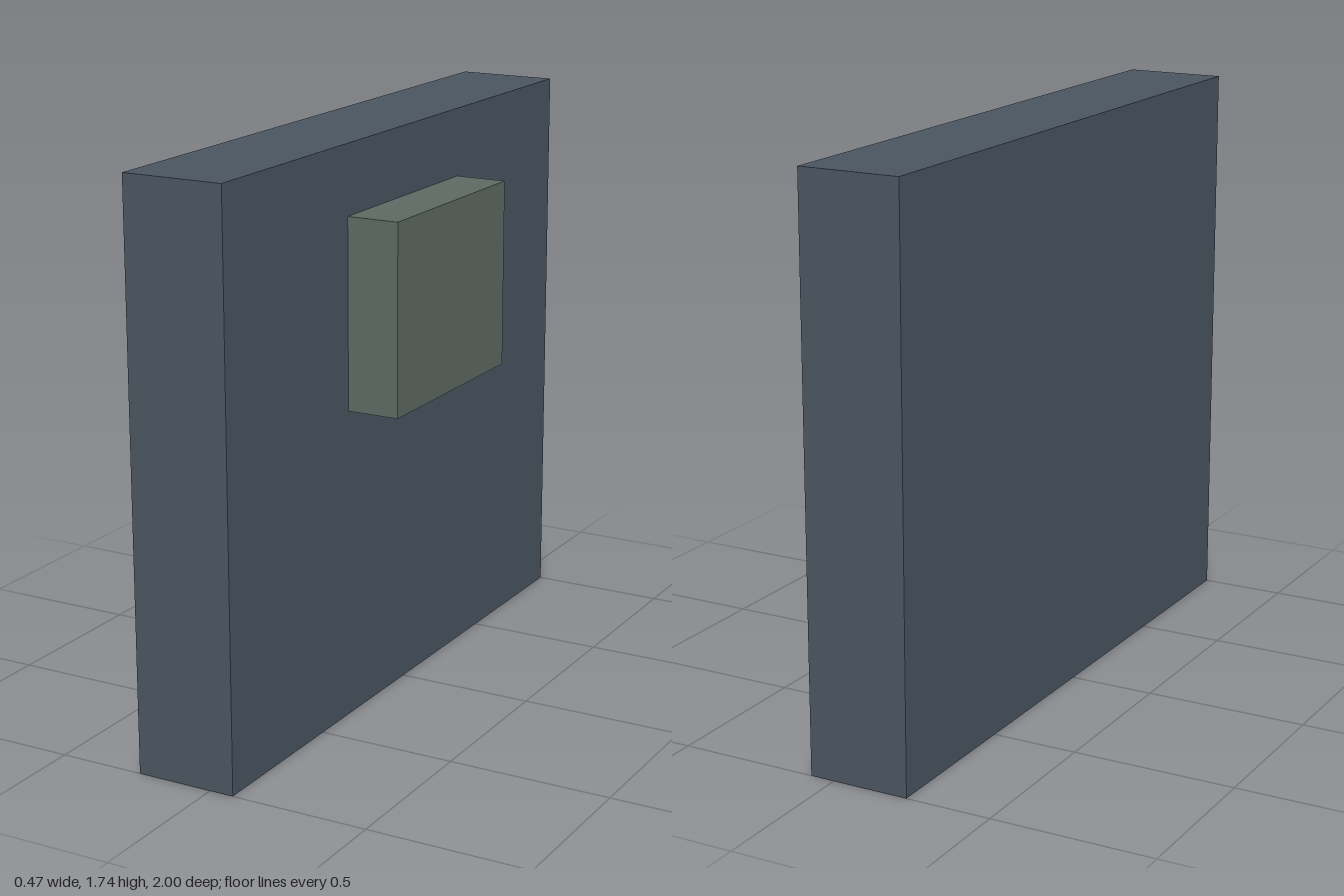
import * as THREE from 'three';

// Box given by its [min, max] extent on each axis
function block(name, color, [x0, x1], [y0, y1], [z0, z1]) {
  const mesh = new THREE.Mesh(
    new THREE.BoxGeometry(x1 - x0, y1 - y0, z1 - z0),
    new THREE.MeshStandardMaterial({ color })
  );
  mesh.position.set((x0 + x1) / 2, (y0 + y1) / 2, (z0 + z1) / 2);
  mesh.name = name;
  return mesh;
}

export function createModel() {
  const model = new THREE.Group();
  model.name = 'wallPanel';
  // Upright slab
  model.add(block('slab', 0x4a5560, [-0.237, 0.075], [0, 1.737], [-1, 1]));
  // Raised plate on the slab's left face
  model.add(block('raisedPlate', 0x5e6962, [0.075, 0.237], [0.95, 1.527], [-0.34, 0.34]));
  return model;
}
